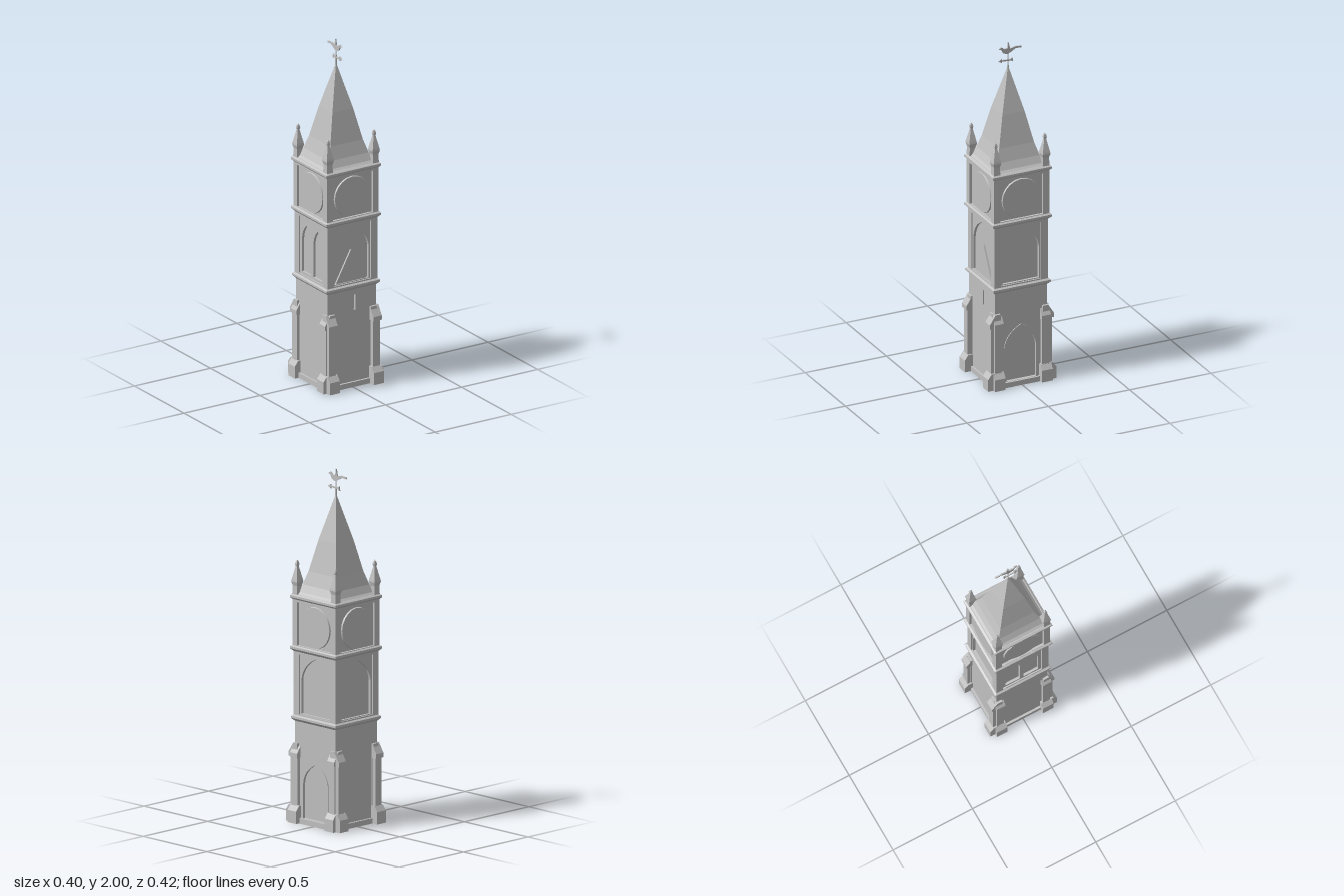
import * as THREE from 'three';

const stone = new THREE.MeshStandardMaterial({ color: 0xc0c0c0 });
stone.name = 'stone';

function add(parent, name, geometry, x = 0, y = 0, z = 0) {
  const mesh = new THREE.Mesh(geometry, stone);
  mesh.name = name;
  mesh.position.set(x, y, z);
  parent.add(mesh);
  return mesh;
}

const box = (w, h, d) => new THREE.BoxGeometry(w, h, d);

// Square stack from [half width, y] points, bottom to top
function squareStack(points) {
  const profile = points.map(([r, y]) => new THREE.Vector2(r * Math.SQRT2, y));
  const g = new THREE.LatheGeometry(profile, 4).rotateY(Math.PI / 4).toNonIndexed();
  g.computeVertexNormals();
  return g;
}

function extrude(shape, depth) {
  return new THREE.ExtrudeGeometry(shape, { depth, bevelEnabled: false, curveSegments: 8 });
}

const polygon = (pts) => new THREE.Shape(pts.map(([x, y]) => new THREE.Vector2(x, y)));

// Pointed arch outline
function archPath(path, x, half, y0, spring, apex) {
  path.moveTo(x - half, y0);
  path.lineTo(x + half, y0);
  path.lineTo(x + half, spring);
  path.quadraticCurveTo(x + half * 0.9, spring + (apex - spring) * 0.65, x, apex);
  path.quadraticCurveTo(x - half * 0.9, spring + (apex - spring) * 0.65, x - half, spring);
  path.closePath();
  return path;
}

// Wall plate with openings, outer face at z = half
function wall(parent, name, half, y0, y1, depth, holes) {
  const shape = polygon([[-half, y0], [half, y0], [half, y1], [-half, y1]]);
  shape.holes.push(...holes);
  add(parent, name, extrude(shape, depth), 0, 0, half - depth);
}

// Buttress running out along +z
function buttress(parent, x) {
  const part = (name, width, pts) => {
    const g = extrude(polygon(pts), width).rotateY(-Math.PI / 2);
    add(parent, name, g, x + width / 2, 0, 0);
  };
  part('buttressFoot', 0.066, [[0.13, 0], [0.21, 0], [0.21, 0.07], [0.188, 0.1], [0.13, 0.1]]);
  part('buttressShaft', 0.046, [[0.13, 0.09], [0.188, 0.09], [0.188, 0.38], [0.13, 0.38]]);
  part('buttressCap', 0.056, [[0.13, 0.37], [0.197, 0.37], [0.197, 0.395], [0.162, 0.45], [0.13, 0.45]]);
}

function towerSide(k) {
  const side = new THREE.Group();
  side.name = ['frontSide', 'leftSide', 'backSide', 'rightSide'][k];
  side.rotation.y = k * Math.PI / 2;

  // Corner buttresses, slightly shallower on the two flanks
  const supports = new THREE.Group();
  supports.name = 'buttresses';
  supports.position.z = k % 2 ? -0.012 : 0;
  for (const x of [-0.145, 0.145]) buttress(supports, x);
  side.add(supports);

  // Ground storey, with the door on one flank
  const lower = [];
  if (k === 1) lower.push(archPath(new THREE.Path(), 0, 0.095, 0.03, 0.23, 0.35));
  if (k === 0) {
    lower.push(new THREE.Path([[0.01, 0.45], [0.024, 0.45], [0.024, 0.54], [0.01, 0.54]]
      .map(([x, y]) => new THREE.Vector2(x, y))));
  }
  wall(side, 'lowerWall', 0.16, 0.01, 0.58, 0.02, lower);
  if (k === 1) {
    const frame = archPath(new THREE.Shape(), 0, 0.105, 0.03, 0.235, 0.365);
    frame.holes.push(archPath(new THREE.Path(), 0, 0.09, 0.031, 0.23, 0.345));
    add(side, 'doorFrame', extrude(frame, 0.014), 0, 0, 0.151);
    add(side, 'doorStep', box(0.21, 0.03, 0.03), 0, 0.015, 0.162);
  }

  // Belfry storey: broad arch inside a square panel
  wall(side, 'belfryCornerPiers', 0.165, 0.6, 0.98, 0.014,
    [polygon([[-0.122, 0.615], [0.122, 0.615], [0.122, 0.955], [-0.122, 0.955]])]);
  const arch = polygon([[-0.125, 0.61], [0.125, 0.61], [0.125, 0.96], [-0.125, 0.96]]);
  if (k === 3) {
    for (const x of [-0.057, 0.057]) arch.holes.push(archPath(new THREE.Path(), x, 0.045, 0.63, 0.82, 0.91));
  } else {
    arch.holes.push(archPath(new THREE.Path(), 0, 0.112, 0.62, 0.81, 0.945));
  }
  add(side, 'belfryArch', extrude(arch, 0.014), 0, 0, 0.143);
  if (k === 0) {
    add(side, 'belfryGable', extrude(polygon([[-0.1, 0.62], [0.1, 0.62], [0, 0.805]]), 0.012), 0, 0, 0.139);
  }

  // Clock storey: corner piers, spandrels and round dial
  wall(side, 'clockCornerPiers', 0.17, 0.99, 1.27, 0.014,
    [polygon([[-0.132, 1.005], [0.132, 1.005], [0.132, 1.25], [-0.132, 1.25]])]);
  const dial = new THREE.CylinderGeometry(0.115, 0.118, 0.012, 20).rotateX(Math.PI / 2);
  add(side, 'clockDial', dial, 0, 1.125, 0.159);
  return side;
}

export function createModel() {
  const model = new THREE.Group();
  model.name = 'clockTower';

  // Inner cores behind the wall plates
  add(model, 'plinth', box(0.345, 0.03, 0.345), 0, 0.015, 0);
  add(model, 'lowerCore', box(0.29, 0.57, 0.29), 0, 0.295, 0);
  add(model, 'belfryCore', box(0.282, 0.4, 0.282), 0, 0.78, 0);
  add(model, 'clockCore', box(0.312, 0.29, 0.312), 0, 1.13, 0);

  for (let k = 0; k < 4; k++) model.add(towerSide(k));

  // Moulded cornices
  for (const [y, r] of [[0.59, 0.176], [0.985, 0.18], [1.275, 0.18]]) {
    add(model, 'cornice', squareStack([
      [0, y - 0.02], [r - 0.018, y - 0.02], [r, y - 0.002], [r, y + 0.01], [r - 0.012, y + 0.018], [0, y + 0.018],
    ]));
  }

  // Flared spire
  add(model, 'spire', squareStack([
    [0.172, 1.285], [0.15, 1.305], [0.13, 1.345], [0.107, 1.42], [0.068, 1.6], [0.034, 1.73], [0.003, 1.85],
  ]));

  // Corner pinnacles
  for (const x of [-0.151, 0.151]) for (const z of [-0.151, 0.151]) {
    add(model, 'pinnacle', squareStack([
      [0.02, 1.28], [0.018, 1.34], [0.024, 1.362], [0.022, 1.375], [0.009, 1.435], [0.006, 1.45],
      [0.009, 1.46], [0.006, 1.475], [0, 1.485],
    ]), x, 0, z);
  }

  // Weather vane lying in the yz plane
  const vane = new THREE.Group();
  vane.name = 'weatherVane';
  add(vane, 'vaneRod', new THREE.CylinderGeometry(0.003, 0.005, 0.17, 6), 0, 1.915, 0);
  const plate = (name, pts) => add(vane, name, extrude(polygon(pts), 0.008).rotateY(-Math.PI / 2), 0.004, 0, 0);
  plate('vaneBird', [
    [0.058, 1.968], [0.042, 1.962], [0.03, 1.94], [0.005, 1.93], [-0.02, 1.942], [-0.045, 1.957],
    [-0.082, 1.955], [-0.08, 1.965], [-0.04, 1.968], [-0.012, 1.96], [-0.003, 2.0], [0.004, 1.965],
    [0.026, 1.964], [0.04, 1.978],
  ]);
  plate('vaneArrow', [
    [0.06, 1.895], [0.038, 1.882], [0.038, 1.891], [-0.015, 1.888], [-0.03, 1.88], [-0.026, 1.905],
    [-0.012, 1.896], [0.038, 1.899], [0.038, 1.908],
  ]);
  model.add(vane);
  return model;
}
